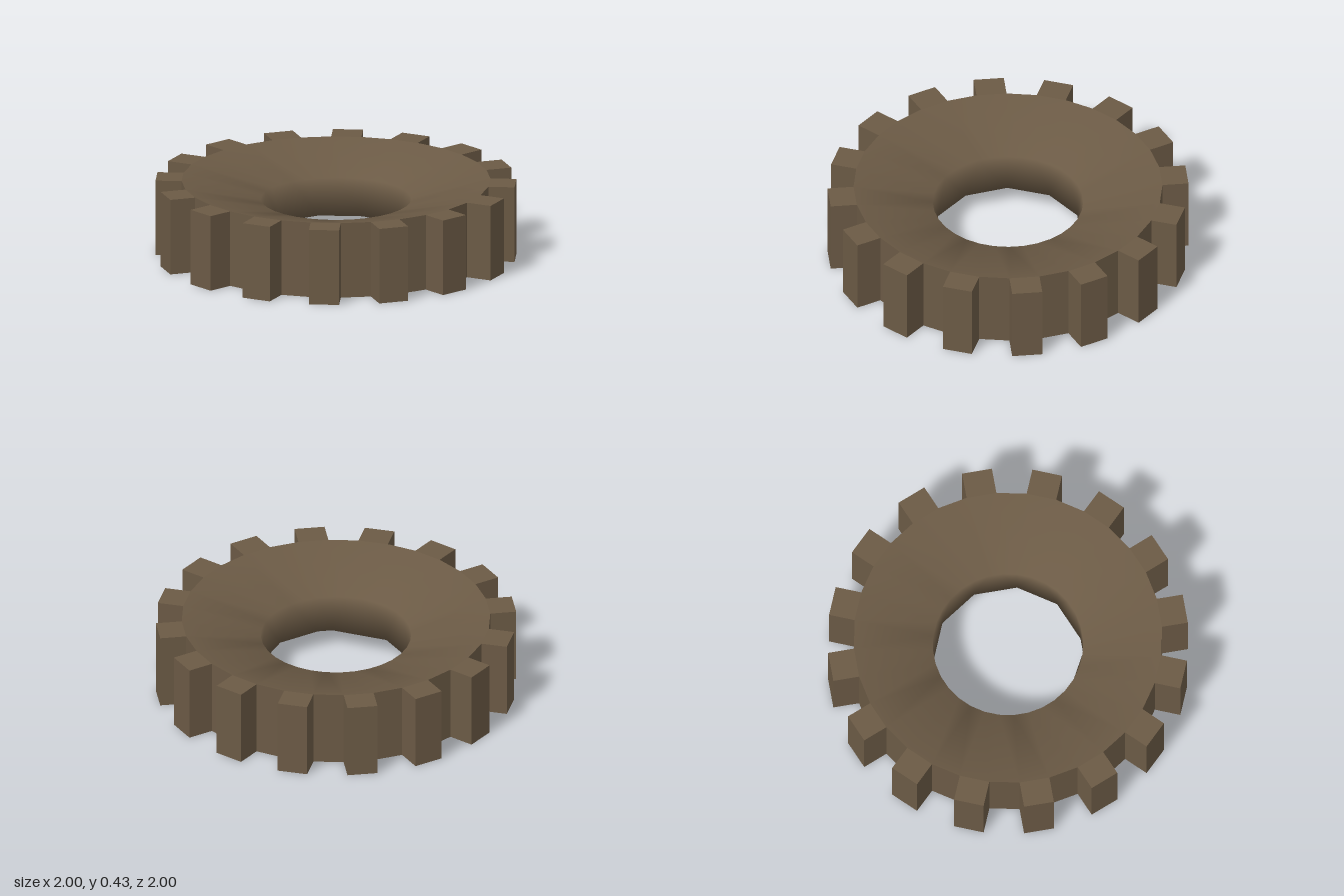
import * as THREE from 'three';

const SEG = 32, TEETH = 16;
const STEP = (Math.PI * 2) / SEG;
const HEIGHT = 0.43, ROOT = 0.856, TIP = 0.997, BORE = 0.417;

// Point on a circle; angle 0 is the back (-z) and grows towards +x
const polar = (r, k, y) => [r * Math.sin(k * STEP), y, -r * Math.cos(k * STEP)];

// Dished body: cone down to the bore, bore wall, cone back out underneath
function dishGeometry() {
  const rings = [[ROOT, HEIGHT], [BORE, 0.32], [BORE, 0.105], [ROOT, 0]];
  const positions = [], index = [];
  for (const [r, y] of rings)
    for (let k = 0; k < SEG; k++) positions.push(...polar(r, k, y));

  // The lower bore edge is coarser: only some of its corners are used
  const corners = [0, 3, 6, 9, 10, 14, 17, 20, 23, 26, 29];
  const gap = (a, b) => Math.min(Math.abs(a - b), SEG - Math.abs(a - b));
  const nearest = (k) => corners.reduce((best, c) => (gap(c, k) < gap(best, k) ? c : best));
  const id = (ring, k) => ring * SEG + (ring === 2 ? nearest(k % SEG) : k % SEG);
  const tri = (a, b, c) => {
    if (a !== b && b !== c && c !== a) index.push(a, b, c);
  };
  for (let ring = 0; ring < 3; ring++) {
    for (let k = 0; k < SEG; k++) {
      const a = id(ring, k), b = id(ring + 1, k);
      const c = id(ring + 1, k + 1), d = id(ring, k + 1);
      tri(a, b, c);
      tri(a, c, d);
    }
  }
  const geometry = new THREE.BufferGeometry();
  geometry.setAttribute('position', new THREE.Float32BufferAttribute(positions, 3));
  geometry.setIndex(index);
  geometry.computeVertexNormals();
  return geometry;
}

// Toothed rim: straight-sided teeth alternating with flat gaps
function rimGeometry() {
  const positions = [];
  const quad = (a, b, c, d) => positions.push(...a, ...b, ...c, ...a, ...c, ...d);
  const at = ([x, , z], y) => [x, y, z];
  const wall = (p, q) => quad(at(p, 0), at(p, HEIGHT), at(q, HEIGHT), at(q, 0));

  for (let i = 0; i < TEETH; i++) {
    const k = i * 2 - 1;
    const r0 = polar(ROOT, k, 0), r1 = polar(ROOT, k + 1, 0), next = polar(ROOT, k + 2, 0);
    const out = polar(TIP - ROOT * Math.cos(STEP / 2), k + 0.5, 0);
    const push = (p) => p.map((v, axis) => v + out[axis]);
    const t0 = push(r0), t1 = push(r1);
    wall(r0, t0);
    wall(t0, t1);
    wall(t1, r1);
    wall(r1, next);
    quad(...[r0, r1, t1, t0].map((p) => at(p, HEIGHT)));
    quad(r0, t0, t1, r1);
  }
  const geometry = new THREE.BufferGeometry();
  geometry.setAttribute('position', new THREE.Float32BufferAttribute(positions, 3));
  geometry.computeVertexNormals();
  return geometry;
}

export function createModel() {
  const group = new THREE.Group();
  group.name = 'gear';
  const material = new THREE.MeshStandardMaterial({ color: 0x6b5a45 });
  const add = (name, geometry) => {
    const mesh = new THREE.Mesh(geometry, material);
    mesh.name = name;
    group.add(mesh);
  };
  add('dishedBody', dishGeometry());
  add('toothedRim', rimGeometry());
  return group;
}
